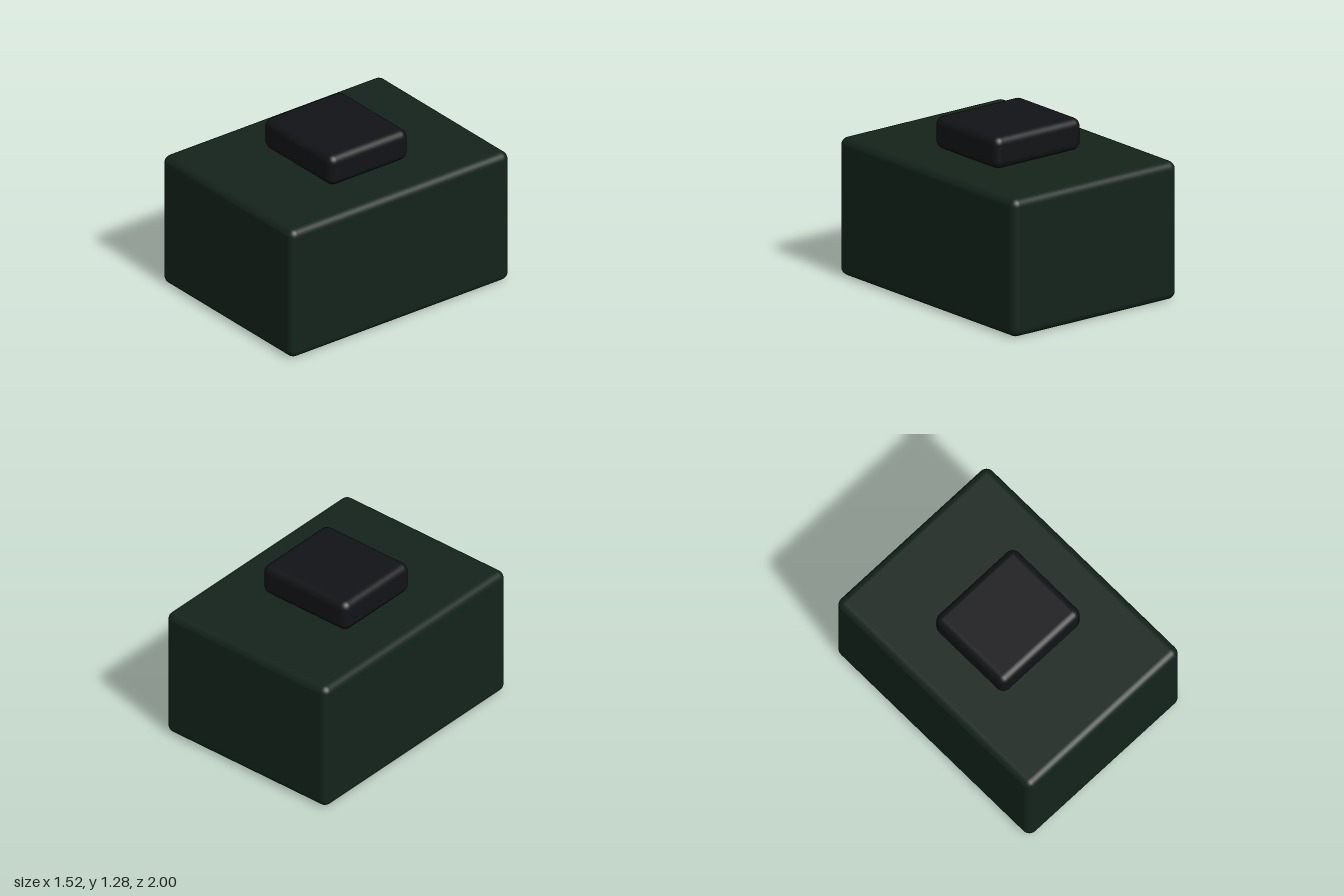
import * as THREE from 'three';
import { RoundedBoxGeometry } from 'three/addons/geometries/RoundedBoxGeometry.js';

// Rounded block standing on the given height
function block(name, width, height, depth, bottom, color) {
  const mesh = new THREE.Mesh(
    new RoundedBoxGeometry(width, height, depth, 4, 0.06),
    new THREE.MeshStandardMaterial({ color })
  );
  mesh.name = name;
  mesh.position.y = bottom + height / 2;
  return mesh;
}

export function createModel() {
  const model = new THREE.Group();
  model.name = 'boxWithCap';
  // Large dark green body with a small near-black block on top
  model.add(block('body', 1.52, 1.04, 2, 0, 0x14231b));
  model.add(block('topBlock', 0.8, 0.24, 0.72, 1.04, 0x121316));
  return model;
}
